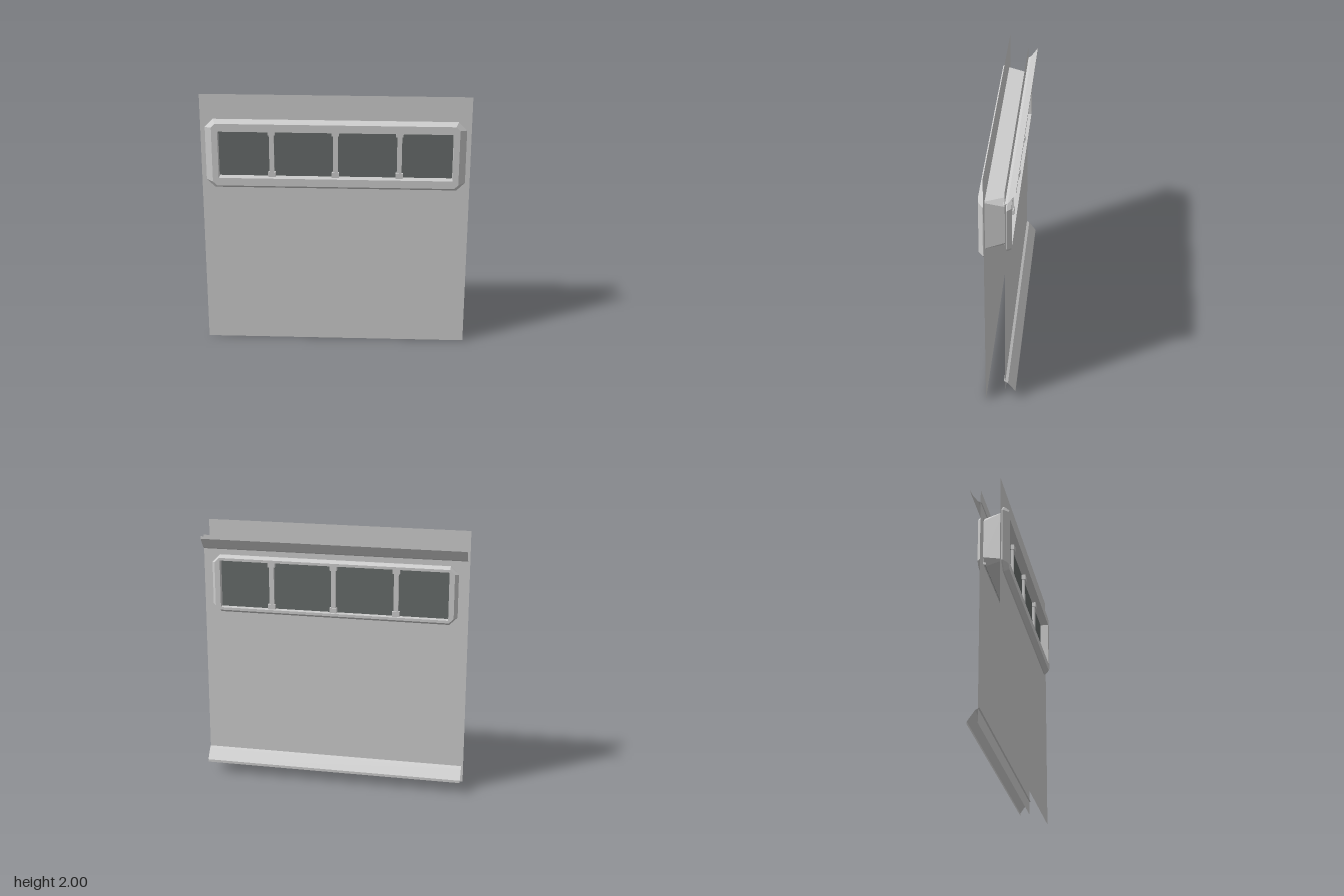
import * as THREE from 'three';

const grey = new THREE.MeshStandardMaterial({ color: 0xcccccc, flatShading: true, side: THREE.DoubleSide });
const glassMat = new THREE.MeshStandardMaterial({ color: 0x666b6a, side: THREE.DoubleSide });

// Rectangle with cut corners, counter-clockwise seen from the front
function loop([hx, y0, y1, c, z]) {
  return [
    [hx, y0 + c, z], [hx, y1 - c, z], [hx - c, y1, z], [-hx + c, y1, z],
    [-hx, y1 - c, z], [-hx, y0 + c, z], [-hx + c, y0, z], [hx - c, y0, z],
  ];
}

// Skin through a list of loops; flip turns the faces for a rear-facing ring
function loft(sections, flip = false) {
  const loops = sections.map(loop), pos = [];
  for (let i = 0; i < loops.length - 1; i++) {
    for (let j = 0; j < 8; j++) {
      const k = (j + 1) % 8;
      const a = loops[i][j], b = loops[i][k], c = loops[i + 1][k], d = loops[i + 1][j];
      pos.push(...(flip ? [a, d, c, a, c, b] : [a, b, c, a, c, d]).flat());
    }
  }
  const g = new THREE.BufferGeometry();
  g.setAttribute('position', new THREE.Float32BufferAttribute(pos, 3));
  g.computeVertexNormals();
  return g;
}

// Flat wall skin with a rectangular window opening
function wallGeometry(y0, y1, z, flip) {
  const s = new THREE.Shape([[-1, y0], [1, y0], [1, y1], [-1, y1]].map(p => new THREE.Vector2(...p)));
  s.holes.push(new THREE.Path([[-0.89, 1.36], [-0.89, 1.74], [0.89, 1.74], [0.89, 1.36]].map(p => new THREE.Vector2(...p))));
  const g = new THREE.ShapeGeometry(s);
  if (flip) g.rotateY(Math.PI);
  return g.translate(0, 0, z);
}

// Open strip running the full width along a [y, z] profile
function stripGeometry(profile) {
  const pos = [];
  for (let i = 0; i < profile.length - 1; i++) {
    const [y0, z0] = profile[i], [y1, z1] = profile[i + 1];
    pos.push(1, y0, z0, -1, y0, z0, -1, y1, z1, 1, y0, z0, -1, y1, z1, 1, y1, z1);
  }
  const g = new THREE.BufferGeometry();
  g.setAttribute('position', new THREE.Float32BufferAttribute(pos, 3));
  g.computeVertexNormals();
  return g;
}

export function createModel() {
  const model = new THREE.Group();
  model.name = 'wallPanelWithWindow';
  const add = (name, geometry, material = grey, parent = model) => {
    const m = new THREE.Mesh(geometry, material);
    m.name = name;
    parent.add(m);
    return m;
  };

  // Outer and inner wall skins
  add('outerWall', wallGeometry(0, 2, 0.085, false));
  add('innerWall', wallGeometry(0.09, 1.91, -0.06, true));

  // Bevelled window surrounds on both faces
  add('outerFrame', loft([
    [0.965, 1.275, 1.81, 0.062, 0.086],
    [0.965, 1.275, 1.81, 0.062, 0.095],
    [0.915, 1.30, 1.785, 0.03, 0.13],
    [0.87, 1.36, 1.725, 0.003, 0.13],
    [0.87, 1.36, 1.725, 0.003, 0.06],
  ]));
  add('innerFrame', loft([
    [0.935, 1.32, 1.765, 0.06, -0.061],
    [0.935, 1.32, 1.765, 0.06, -0.068],
    [0.91, 1.34, 1.745, 0.035, -0.097],
    [0.87, 1.36, 1.725, 0.003, -0.097],
    [0.87, 1.36, 1.725, 0.003, -0.045],
  ], true));

  // Tapered lining between the two skins
  add('windowLining', loft([
    [0.92, 1.36, 1.76, 0.008, 0.085],
    [0.895, 1.36, 1.76, 0.05, -0.06],
  ]));

  // A dark pane behind each frame, crossed by mullions with a block at each end
  for (const [side, paneZ, dir] of [['outer', 0.065, 1], ['inner', -0.05, -1]]) {
    add(side + 'Glass', new THREE.PlaneGeometry(1.76, 0.38).translate(0, 1.545, paneZ), glassMat);
    for (const x of [-0.475, 0, 0.475]) {
      const mullion = new THREE.Group();
      mullion.name = side + 'Mullion';
      mullion.position.set(x, 0, paneZ);
      add('mullionBar', new THREE.BoxGeometry(0.036, 0.365, 0.022).translate(0, 1.5425, dir * 0.009), grey, mullion);
      for (const y of [1.379, 1.706]) {
        add('mullionBlock', new THREE.BoxGeometry(0.055, 0.038, 0.032).translate(0, y, dir * 0.013), grey, mullion);
      }
      model.add(mullion);
    }
  }

  // Sloped trims with a narrow lip along the inner wall, mirrored top and bottom
  const trim = [[1.80, -0.05], [1.818, -0.08], [1.895, -0.135], [1.915, -0.135]];
  add('topTrim', stripGeometry(trim));
  add('bottomTrim', stripGeometry(trim.map(([y, z]) => [2 - y, z]).reverse()));

  return model;
}
